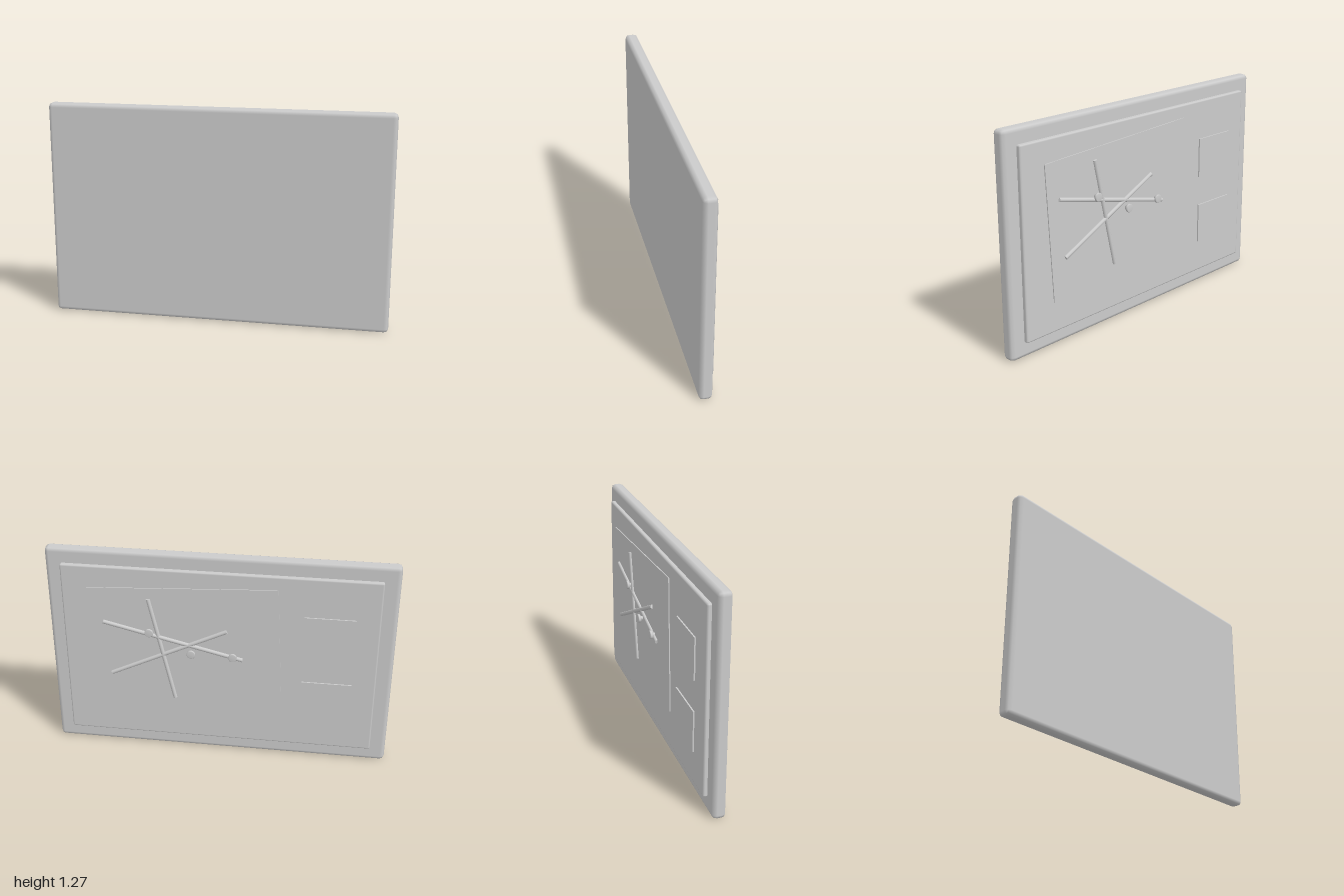
import * as THREE from 'three';
import { RoundedBoxGeometry } from 'three/addons/geometries/RoundedBoxGeometry.js';

export function createModel() {
  const group = new THREE.Group();
  const material = new THREE.MeshStandardMaterial({ color: 0xcccccc });

  const add = (name, geometry, x, y, z) => {
    const mesh = new THREE.Mesh(geometry, material);
    mesh.name = name;
    mesh.position.set(x, y, z);
    group.add(mesh);
    return mesh;
  };

  // Thick board with bevelled edges, and the raised panel on its back
  add('board', new RoundedBoxGeometry(2, 1.274, 0.077, 1, 0.025), 0, 0.637, 0.0345);
  add('panel', new RoundedBoxGeometry(1.82, 1.095, 0.04, 1, 0.01), 0, 0.6375, -0.008);

  // Large sheet, pinned slightly askew
  const sheet = add('sheet', new THREE.BoxGeometry(1.095, 0.788, 0.006), 0.192, 0.69, -0.037);
  sheet.rotation.z = -0.05;

  // Two small notes beside it
  for (const y of [0.833, 0.413]) {
    add('note', new THREE.BoxGeometry(0.29, 0.241, 0.008), -0.63, y, -0.039);
  }

  // Strings lying across the sheet, as thin rods: [x1, y1, x2, y2]
  const strings = [
    [0.67, 0.846, -0.14, 0.652],
    [0.403, 1.008, 0.258, 0.366],
    [0.634, 0.508, -0.048, 0.832],
  ];
  for (const [x1, y1, x2, y2] of strings) {
    const dx = x2 - x1, dy = y2 - y1;
    const rod = add('string', new THREE.CylinderGeometry(0.012, 0.012, Math.hypot(dx, dy), 12),
      (x1 + x2) / 2, (y1 + y2) / 2, -0.042);
    rod.rotation.z = Math.atan2(dy, dx) - Math.PI / 2;
  }

  // Pins: a flared round head on a short shaft, pointing out of the back
  const profile = [[0, 0], [0.012, 0], [0.012, 0.015], [0.021, 0.015], [0.025, 0.02], [0.025, 0.029], [0.022, 0.032], [0, 0.032]]
    .map(([r, h]) => new THREE.Vector2(r, h));
  for (const [x, y] of [[0.4, 0.801], [0.157, 0.678], [-0.085, 0.675]]) {
    const pin = add('pin', new THREE.LatheGeometry(profile, 20), x, y, -0.039);
    pin.rotation.x = -Math.PI / 2;
  }

  return group;
}
